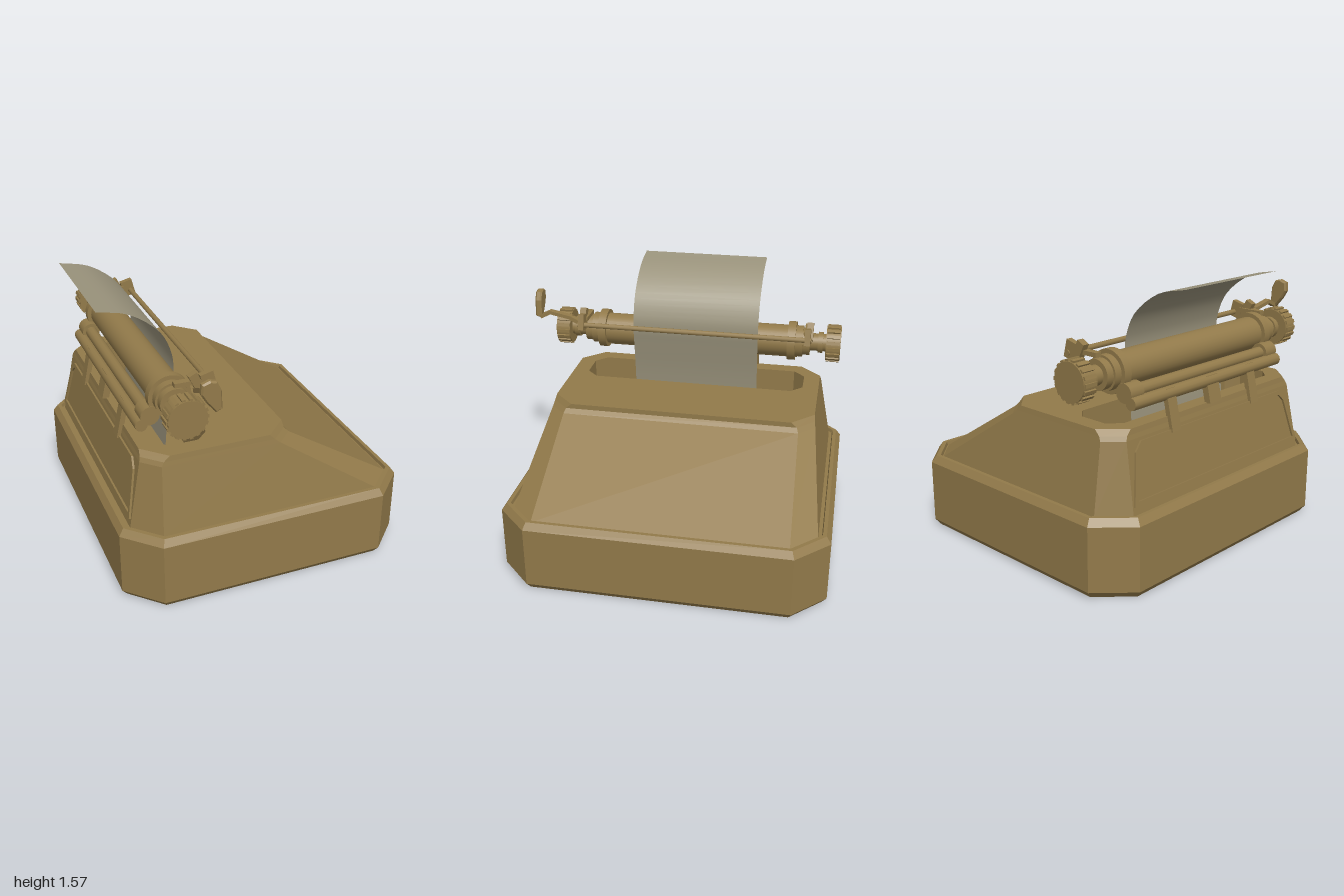
import * as THREE from 'three';

const body = new THREE.MeshStandardMaterial({ color: 0x927a4a });
body.name = 'bronze';
const sheet = new THREE.MeshStandardMaterial({ color: 0x9a937c, side: THREE.DoubleSide });
sheet.name = 'paperGrey';

// Chamfered rectangle, counter-clockwise from above
function octagon(x0, x1, hz, c, y) {
  return [[x1, hz - c], [x1, c - hz], [x1 - c, -hz], [x0 + c, -hz],
    [x0, c - hz], [x0, hz - c], [x0 + c, hz], [x1 - c, hz]]
    .map(([x, z]) => new THREE.Vector3(x, y, z));
}

// Faceted skin through a stack of rings, optionally closed at either end
function loft(rings, capStart, capEnd) {
  const tri = [];
  const centre = (r) => r.reduce((s, p) => s.add(p), new THREE.Vector3()).divideScalar(r.length);
  const n = rings[0].length;
  for (let i = 0; i < n; i++) {
    const j = (i + 1) % n;
    for (let k = 0; k + 1 < rings.length; k++) {
      const a = rings[k], b = rings[k + 1];
      tri.push(a[i], a[j], b[j], a[i], b[j], b[i]);
    }
    const last = rings[rings.length - 1];
    if (capStart) tri.push(centre(rings[0]), rings[0][j], rings[0][i]);
    if (capEnd) tri.push(centre(last), last[i], last[j]);
  }
  const g = new THREE.BufferGeometry().setFromPoints(tri);
  g.computeVertexNormals();
  return g;
}

export function createModel() {
  const root = new THREE.Group();
  root.name = 'typewriter';
  const machine = new THREE.Group();
  machine.name = 'machine';
  machine.position.z = -0.04;
  root.add(machine);

  const add = (name, geo, mat = body, parent = machine) => {
    const m = new THREE.Mesh(geo, mat);
    m.name = name;
    parent.add(m);
    return m;
  };
  // Round part along z
  const roller = (name, r, len, x, y, z, sides = 32) => {
    const m = add(name, new THREE.CylinderGeometry(r, r, len, sides).rotateX(Math.PI / 2));
    m.position.set(x, y, z);
    return m;
  };
  // Flat bar between two points
  const bar = (name, from, to, w, t) => {
    const p = new THREE.Vector3(...from), q = new THREE.Vector3(...to);
    const m = add(name, new THREE.BoxGeometry(w, t, p.distanceTo(q)));
    m.position.copy(p).add(q).multiplyScalar(0.5);
    m.lookAt(q.clone().add(machine.position));
    m.quaternion.setFromRotationMatrix(new THREE.Matrix4().lookAt(q, p, new THREE.Vector3(0, 1, 0)));
    return m;
  };

  // Base tray with bevelled edges and a shallow groove inside the rim
  const tray = (y, i) => octagon(-0.86 + i, 0.86 - i, 0.96 - i, 0.19 - i * 0.5, y);
  add('base', loft([tray(0, 0.03), tray(0.04, 0), tray(0.41, 0), tray(0.45, 0.028),
    tray(0.45, 0.05), tray(0.43, 0.055)], true, true));

  // Sloped cover
  const rim = octagon(-0.7, 0.14, 0.8, 0.13, 0.875);
  add('cover', loft([octagon(-0.788, 0.8, 0.885, 0.145, 0.43),
    octagon(-0.713, 0.165, 0.81, 0.095, 0.82), octagon(-0.706, 0.14, 0.805, 0.1, 0.845), rim]));

  // Cover top with the carriage well cut into it
  const well = (y) => octagon(-0.61, -0.3, 0.7, 0.07, y);
  const flat = (ring) => ring.map((p) => new THREE.Vector2(p.x, -p.z));
  const top = new THREE.Shape(flat(rim));
  top.holes.push(new THREE.Path(flat(well(0))));
  add('coverTop', new THREE.ShapeGeometry(top).rotateX(-Math.PI / 2).translate(0, 0.875, 0));
  add('carriageWell', loft([well(0.875), well(0.6)], false, true));

  // Raised border of the rear panel
  const panel = (b, t, y0, y1, c) => [[-b, y0], [b, y0], [t, y1 - c], [t - c, y1],
    [c - t, y1], [-t, y1 - c]].map((p) => new THREE.Vector2(...p));
  const border = new THREE.Shape(panel(0.73, 0.67, 0.03, 0.36, 0.05));
  border.holes.push(new THREE.Path(panel(0.7, 0.645, 0.055, 0.335, 0.04)));
  const frame = add('rearPanelBorder', new THREE.ExtrudeGeometry(border,
    { depth: 0.012, bevelEnabled: false }).rotateY(-Math.PI / 2).rotateZ(-0.19));
  frame.position.set(-0.785, 0.45, 0);

  // Platen with its collars, shafts and ribbed knobs
  const px = -0.505, py = 1.135;
  roller('platen', 0.098, 1.36, px, py, 0);
  for (const s of [-1, 1]) {
    roller('platenCollar', 0.122, 0.05, px, py, s * 0.61);
    roller('endCollar', 0.085, 0.05, px, py, s * 0.7);
    roller('platenShaft', 0.055, 0.2, px, py, s * 0.74);
    roller('shaftRing', 0.066, 0.03, px, py, s * 0.79);
    roller('knob', 0.108, 0.09, px, py, s * 0.87);
    for (let i = 0; i < 18; i++) {
      const a = (i / 18) * Math.PI * 2;
      const rib = add('knobRib', new THREE.BoxGeometry(0.02, 0.02, 0.08));
      rib.position.set(px + 0.108 * Math.cos(a), py + 0.108 * Math.sin(a), s * 0.87);
      rib.rotation.z = a;
    }

    // Paper bail holders
    const link = add('bailLink', new THREE.BoxGeometry(0.16, 0.025, 0.04));
    link.position.set(-0.43, 1.24, s * 0.71);
    const mount = add('bailMount', new THREE.BoxGeometry(0.05, 0.11, 0.04));
    mount.position.set(-0.39, 1.245, s * 0.725);
    mount.rotation.z = 0.45;
    const clamp = add('bailClamp', new THREE.BoxGeometry(0.075, 0.1, 0.035));
    clamp.position.set(-0.32, 1.235, s * 0.715);
    clamp.rotation.z = 0.25;

    // Rear carriage supports
    roller('rearRoller', 0.055, 0.1, -0.62, 1.04, s * 0.59, 16);
    bar('supportArm', [-0.675, 1.02, s * 0.35], [-0.725, 0.79, s * 0.35], 0.07, 0.03);
  }
  bar('centreArm', [-0.67, 1.02, 0], [-0.705, 0.87, 0], 0.1, 0.04);
  roller('rearRail', 0.036, 1.28, -0.67, 0.992, 0, 12);
  roller('carriageRail', 0.035, 1.1, -0.62, 1.04, 0, 12);
  roller('bailRod', 0.016, 1.48, -0.305, 1.22, 0, 10);

  // Carriage return lever
  bar('leverRoot', [-0.385, 1.19, 0.72], [-0.385, 1.235, 0.81], 0.04, 0.025);
  bar('leverArm', [-0.385, 1.235, 0.8], [-0.385, 1.265, 0.95], 0.04, 0.022);
  bar('leverBend', [-0.385, 1.265, 0.94], [-0.385, 1.23, 1.01], 0.04, 0.022);
  const paddle = new THREE.Shape([[-0.4, 1.22], [-0.365, 1.235], [-0.37, 1.34], [-0.395, 1.39],
    [-0.43, 1.4], [-0.475, 1.385], [-0.48, 1.33], [-0.45, 1.28]].map((p) => new THREE.Vector2(...p)));
  add('leverPaddle', new THREE.ExtrudeGeometry(paddle,
    { depth: 0.02, bevelThickness: 0.01, bevelSize: 0.008, bevelOffset: -0.008, bevelSegments: 1 }))
    .position.z = 1.01;

  // Sheet of paper curling back over the platen
  const path = new THREE.CatmullRomCurve3([[-0.82, 1.573], [-0.64, 1.53], [-0.47, 1.4], [-0.41, 1.27],
    [-0.4, 1.18], [-0.412, 1.09], [-0.44, 0.9], [-0.46, 0.68]].map(([x, y]) => new THREE.Vector3(x, y, 0)));
  const paper = new THREE.PlaneGeometry(0.8, 1, 1, 28);
  const pos = paper.attributes.position;
  for (let i = 0; i < pos.count; i++) {
    const p = path.getPoint(0.5 - pos.getY(i));
    pos.setXYZ(i, p.x, p.y, -pos.getX(i));
  }
  paper.computeVertexNormals();
  add('paper', paper, sheet);

  return root;
}
